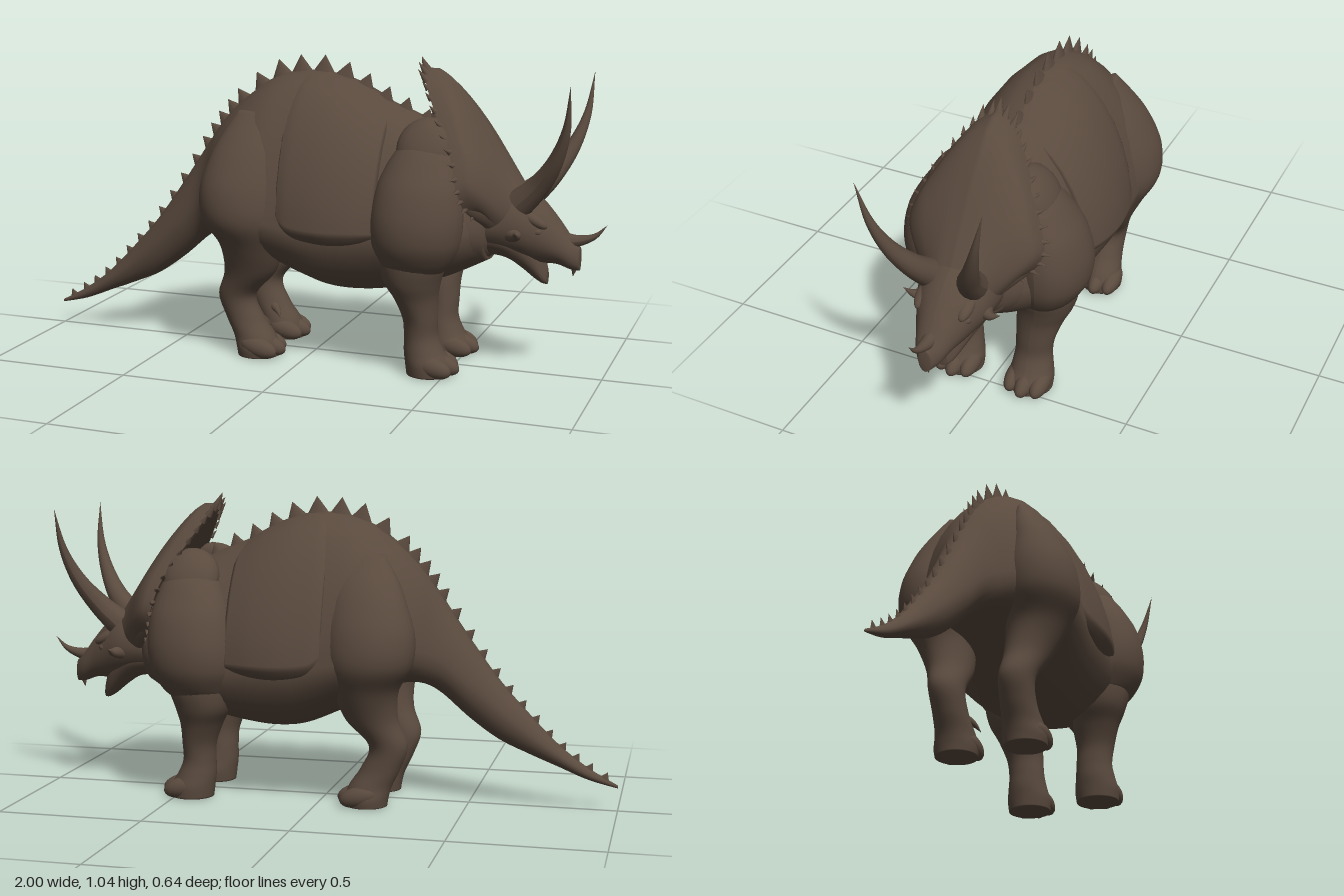
import * as THREE from 'three';

const V = (x, y, z) => new THREE.Vector3(x, y, z);
const hide = new THREE.MeshStandardMaterial({ color: 0x5a4a3e, side: THREE.DoubleSide });
hide.name = 'brown hide';

function part(name, geometry) {
  const mesh = new THREE.Mesh(geometry, hide);
  mesh.name = name;
  return mesh;
}

// Smooth interpolation through rows of numbers, u in 0..1
function sample(rows, u) {
  const f = u * (rows.length - 1), i = Math.min(Math.floor(f), rows.length - 2), t = f - i;
  const r = k => rows[Math.max(0, Math.min(rows.length - 1, k))];
  return rows[0].map((_, k) => {
    const a = r(i - 1)[k], b = r(i)[k], c = r(i + 1)[k], d = r(i + 2)[k];
    return b + 0.5 * t * (c - a + t * (2 * a - 5 * b + 4 * c - d + t * (3 * (b - c) + d - a)));
  });
}

// Grid of points turned into a smooth surface
function gridGeometry(nu, nv, point) {
  const pos = [], idx = [];
  for (let i = 0; i <= nu; i++) for (let j = 0; j <= nv; j++) pos.push(...point(i, j));
  for (let i = 0; i < nu; i++) for (let j = 0; j < nv; j++) {
    const a = i * (nv + 1) + j, b = a + nv + 1;
    idx.push(a, a + 1, b, a + 1, b + 1, b);
  }
  const g = new THREE.BufferGeometry();
  g.setAttribute('position', new THREE.Float32BufferAttribute(pos, 3));
  g.setIndex(idx);
  g.computeVertexNormals();
  return g;
}

// Rounded loft along x, or down y when upright; rows: [station, low, widest, high, halfWidth, zCentre].
// pinch narrows the high side towards a ridge
function loft(rows, upright = false, pinch = 0) {
  const n = rows.length * 5, sides = 32;
  return gridGeometry(n + 2, sides, (i, j) => {
    const k = Math.max(0, Math.min(n, i - 1)), s = i === 0 || i === n + 2 ? 0 : 1;
    const [t, lo, mid, hi, w, zc = 0] = sample(rows, k / n);
    const a = (j / sides) * Math.PI * 2, c = Math.cos(a);
    const across = mid + s * c * (c > 0 ? hi - mid : mid - lo);
    const z = zc + s * w * Math.sin(a) * (1 - pinch * Math.max(0, c));
    return upright ? [across, t, z] : [t, across, z];
  });
}

// Tapered, curved horn
function horn(points, radius) {
  const curve = new THREE.CatmullRomCurve3(points), n = 20, sides = 14;
  const g = new THREE.TubeGeometry(curve, n, radius, sides, false), p = g.attributes.position;
  for (let i = 0; i <= n; i++) {
    const c = curve.getPointAt(i / n), k = 1.002 - Math.pow(i / n, 0.9);
    for (let j = 0; j <= sides; j++) {
      const q = i * (sides + 1) + j;
      const v = V().fromBufferAttribute(p, q).sub(c).multiplyScalar(k).add(c);
      p.setXYZ(q, v.x, v.y, v.z);
    }
  }
  g.computeVertexNormals();
  return g;
}

function blob(name, x, y, z, rx, ry, rz, tilt = 0, roll = 0) {
  const m = part(name, new THREE.SphereGeometry(1, 20, 14));
  m.position.set(x, y, z);
  m.scale.set(rx, ry, rz);
  m.rotation.set(roll, 0, tilt);
  return m;
}

function spike(name, at, dir, r, h, thin = 1) {
  const m = part(name, new THREE.ConeGeometry(r, h, 10));
  m.position.copy(at).addScaledVector(dir, h * 0.3);
  m.quaternion.setFromUnitVectors(V(0, 1, 0), dir);
  m.scale.z = thin;
  return m;
}

const torso = [
  [-1, .085, .09, .095, .003], [-.9, .11, .13, .15, .018], [-.8, .15, .19, .225, .034],
  [-.7, .19, .26, .325, .05], [-.6, .235, .34, .435, .068], [-.5, .305, .43, .57, .085],
  [-.4, .39, .52, .715, .11], [-.33, .42, .55, .81, .175], [-.25, .41, .54, .89, .245],
  [-.15, .36, .52, .96, .283], [-.05, .31, .5, .988, .282], [.06, .265, .48, .987, .272],
  [.16, .253, .48, .95, .265], [.26, .262, .48, .9, .26], [.36, .285, .48, .86, .26],
  [.46, .315, .49, .81, .247], [.54, .35, .5, .74, .21], [.62, .39, .51, .65, .135]];

const flank = [
  [-.045, .46, .54, .975, .275], [.0, .41, .51, .99, .293], [.1, .395, .5, .977, .303],
  [.2, .4, .5, .936, .293], [.29, .43, .5, .88, .267]];

const shoulder = [
  [.81, .38, .43, .49, .03, .14], [.77, .34, .425, .525, .065, .155], [.71, .305, .415, .548, .088, .175],
  [.64, .28, .41, .565, .105, .195], [.55, .265, .4, .572, .117, .204], [.47, .265, .4, .562, .116, .2],
  [.41, .285, .4, .535, .1, .187], [.37, .305, .4, .5, .075, .175], [.345, .35, .4, .45, .03, .165]];

const frontLeg = [
  [.48, .29, .39, .51, .095, .175], [.4, .288, .39, .51, .1, .172], [.33, .3, .385, .49, .093, .163],
  [.27, .332, .4, .478, .081, .146], [.2, .358, .42, .475, .067, .136], [.14, .362, .42, .475, .064, .13],
  [.09, .362, .43, .495, .07, .13], [.05, .367, .44, .52, .077, .13], [.01, .372, .445, .52, .074, .13]];

const hindLeg = [
  [.86, -.23, -.16, -.09, .02, .13], [.78, -.28, -.175, -.06, .065, .155], [.7, -.315, -.19, -.05, .088, .182],
  [.6, -.343, -.2, -.038, .117, .192], [.5, -.335, -.19, -.04, .122, .19], [.41, -.285, -.17, -.065, .1, .165],
  [.31, -.28, -.19, -.1, .077, .14], [.22, -.31, -.24, -.178, .06, .125], [.14, -.285, -.22, -.15, .058, .12],
  [.08, -.257, -.18, -.11, .066, .12], [.04, -.245, -.17, -.095, .074, .122], [.01, -.24, -.17, -.095, .07, .122]];

const skull = [
  [.56, .41, .52, .68, .12], [.64, .42, .52, .665, .128], [.72, .405, .52, .645, .122],
  [.78, .392, .5, .605, .098], [.84, .39, .46, .54, .068], [.885, .375, .43, .48, .046],
  [.915, .372, .408, .45, .021]];

const jaw = [
  [.62, .41, .48, .54, .11], [.68, .4, .47, .53, .105], [.73, .368, .45, .5, .086],
  [.77, .335, .41, .46, .062], [.795, .32, .36, .42, .038], [.81, .318, .335, .37, .018]];

// Half of the frill rim, crown to cheek, and where it meets the skull
const rim = [
  [.385, 1.015, 0], [.4, .98, .058], [.435, .918, .11], [.485, .833, .162],
  [.53, .75, .205], [.555, .66, .233], [.575, .592, .205], [.61, .545, .14]];
const root = [[.74, .625, 0], [.735, .615, .05], [.72, .585, .09], [.69, .54, .115], [.65, .5, .115]];

function mirroredAlong(rows, u) {
  const [x, y, z] = sample(rows, Math.abs(u));
  return V(x, y, u < 0 ? -z : z);
}

function frillSurface(front) {
  const nu = 56, nv = 16;
  return gridGeometry(nu, nv, (i, j) => {
    const u = (i / nu) * 2 - 1, v = j / nv;
    const p = mirroredAlong(rim, u).lerp(mirroredAlong(root, u), v);
    const swell = Math.sin(Math.PI * Math.sqrt(v)) * (1 - 0.6 * u * u) * (front ? 0.05 : -0.015);
    return [p.x + swell * 0.75, p.y + swell * 0.65, p.z];
  });
}

// Everything that exists on both flanks, built on the +z side
function buildSide() {
  const side = new THREE.Group();
  side.add(part('shoulder', loft(shoulder, true)), part('frontLeg', loft(frontLeg, true)));
  side.add(part('hindLeg', loft(hindLeg, true)));
  side.add(blob('shoulderHump', .435, .775, .155, .1, .105, .055, -.3, -.55));
  for (const [x, zc] of [[.485, .13], [-.135, .122]]) {
    for (const k of [-1, 0, 1]) {
      side.add(blob('toe', x - Math.abs(k) * .016, .046, zc + k * .047, .068, .035, .031, -.25));
    }
  }
  side.add(part('hindClaw', horn([V(-.2, .13, .09), V(-.17, .115, .06), V(-.15, .09, .042)], .025)));
  side.add(part('browHorn', horn(
    [V(.73, .6, .075), V(.79, .66, .095), V(.85, .75, .135), V(.89, .86, .172), V(.905, 1, .208)], .048)));
  side.add(part('cheekHorn', horn([V(.7, .5, .09), V(.73, .5, .13), V(.735, .515, .17)], .036)));
  side.add(blob('browRidge', .77, .548, .075, .055, .02, .024, -.5));
  side.add(blob('eye', .785, .508, .08, .018, .014, .016));
  side.add(blob('nostril', .87, .445, .036, .018, .014, .01));
  for (let i = 1; i <= 14; i++) {
    const at = V(...sample(rim, i / 15)), dir = at.clone().sub(V(.62, .68, 0)).normalize();
    side.add(spike('frillSpike', at, dir, i < 3 ? .014 : .01, i < 3 ? .05 : .032));
  }
  return side;
}

export function createModel() {
  const model = new THREE.Group();
  model.name = 'hornedDinosaur';

  // Body and tail
  model.add(part('torsoAndTail', loft(torso, false, .16)), part('flankFold', loft(flank, false, .16)));
  model.add(part('neckFold', loft(
    [[.54, .4, .52, .68, .17], [.575, .376, .51, .68, .175], [.61, .39, .51, .66, .15], [.63, .41, .51, .62, .12]])));

  // Head
  model.add(part('skull', loft(skull)), part('lowerJaw', loft(jaw)));
  model.add(part('frillFront', frillSurface(true)), part('frillBack', frillSurface(false)));
  model.add(part('upperBeak', horn([V(.87, .42, 0), V(.895, .4, 0), V(.893, .35, 0)], .032)));
  model.add(part('noseHorn', horn([V(.84, .47, 0), V(.9, .47, 0), V(.96, .49, 0), V(1, .53, 0)], .032)));
  model.add(spike('frillSpike', V(.385, 1.015, 0), V(-.4, .92, 0).normalize(), .016, .05));

  // Legs and paired details
  const left = buildSide(), right = left.clone();
  left.name = 'nearSide';
  right.name = 'farSide';
  right.scale.z = -1;
  model.add(left, right);

  // Row of spikes along the spine, broad over the back and small down the tail
  for (let u = .03; u < .88; u += u < .45 ? .027 : .042) {
    const a = sample(torso, u), b = sample(torso, u + 0.01);
    const slope = Math.atan2(b[3] - a[3], b[0] - a[0]) * 0.85;
    const h = .03 + .04 * Math.exp(-Math.pow((a[0] + .02) / .4, 2));
    model.add(spike('backSpike', V(a[0], a[3] - .002, 0), V(-Math.sin(slope), Math.cos(slope), 0), h * .65, h, .4));
  }
  return model;
}
